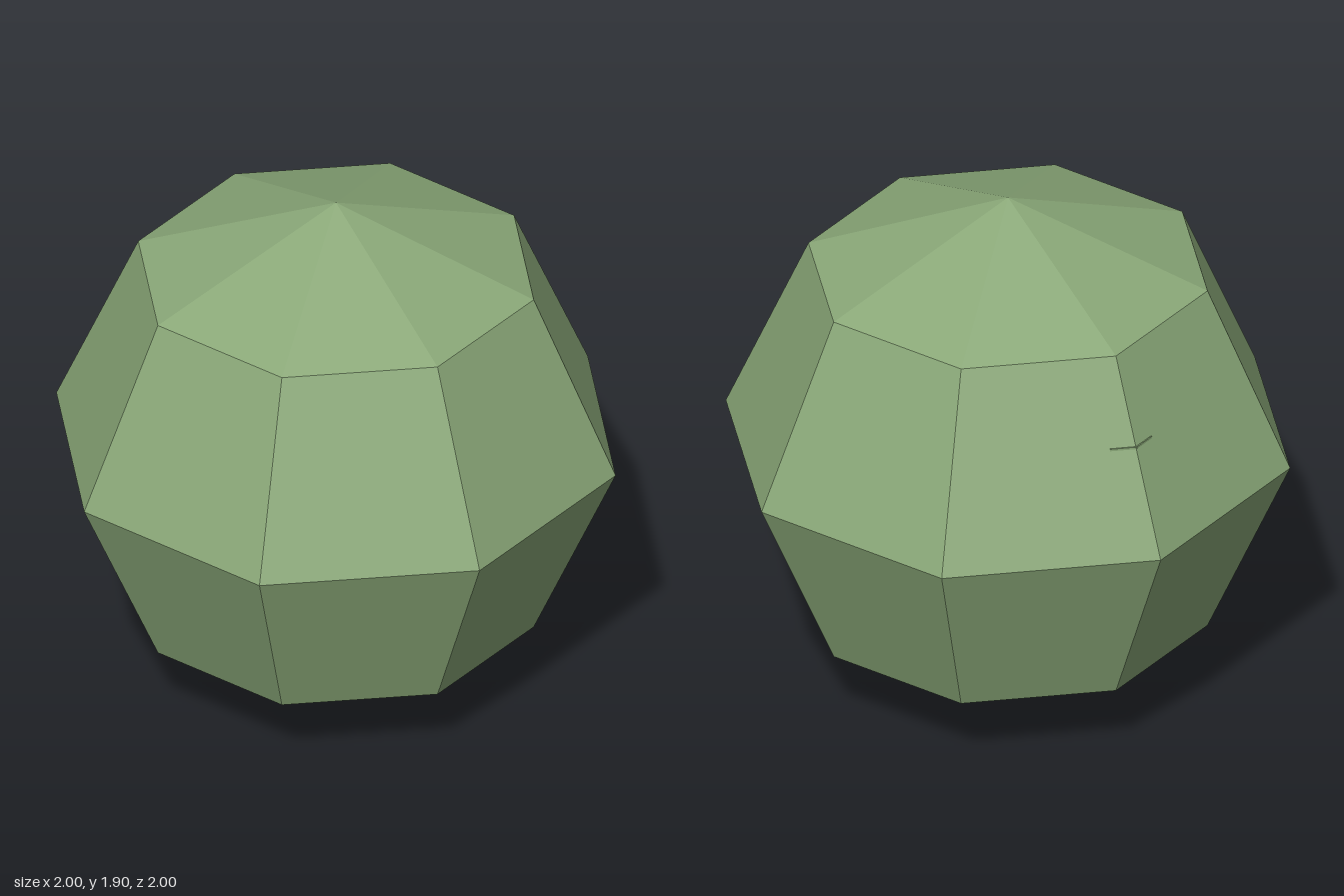
import * as THREE from 'three';

export function createModel() {
  const group = new THREE.Group();
  const leafGreen = new THREE.MeshStandardMaterial({ color: 0x8aa878, flatShading: true });
  leafGreen.name = 'leafGreen';

  // Faceted body: eight sides, four bands, slightly squashed
  const HALF_HEIGHT = 0.95;
  const body = new THREE.Mesh(new THREE.SphereGeometry(1, 8, 4).scale(1, HALF_HEIGHT, 1), leafGreen);
  body.name = 'body';
  body.position.y = HALF_HEIGHT;
  group.add(body);

  // Thin sliver folded around the upper back edge
  for (const side of [-1, 1]) {
    const sliver = new THREE.Mesh(new THREE.BoxGeometry(0.09, 0.008, 0.008), leafGreen);
    sliver.name = side > 0 ? 'backSliverLeft' : 'backSliverRight';
    sliver.position.set(side * 0.042, 1.32, -0.82);
    sliver.rotation.y = -side * Math.PI / 8;
    group.add(sliver);
  }

  return group;
}
